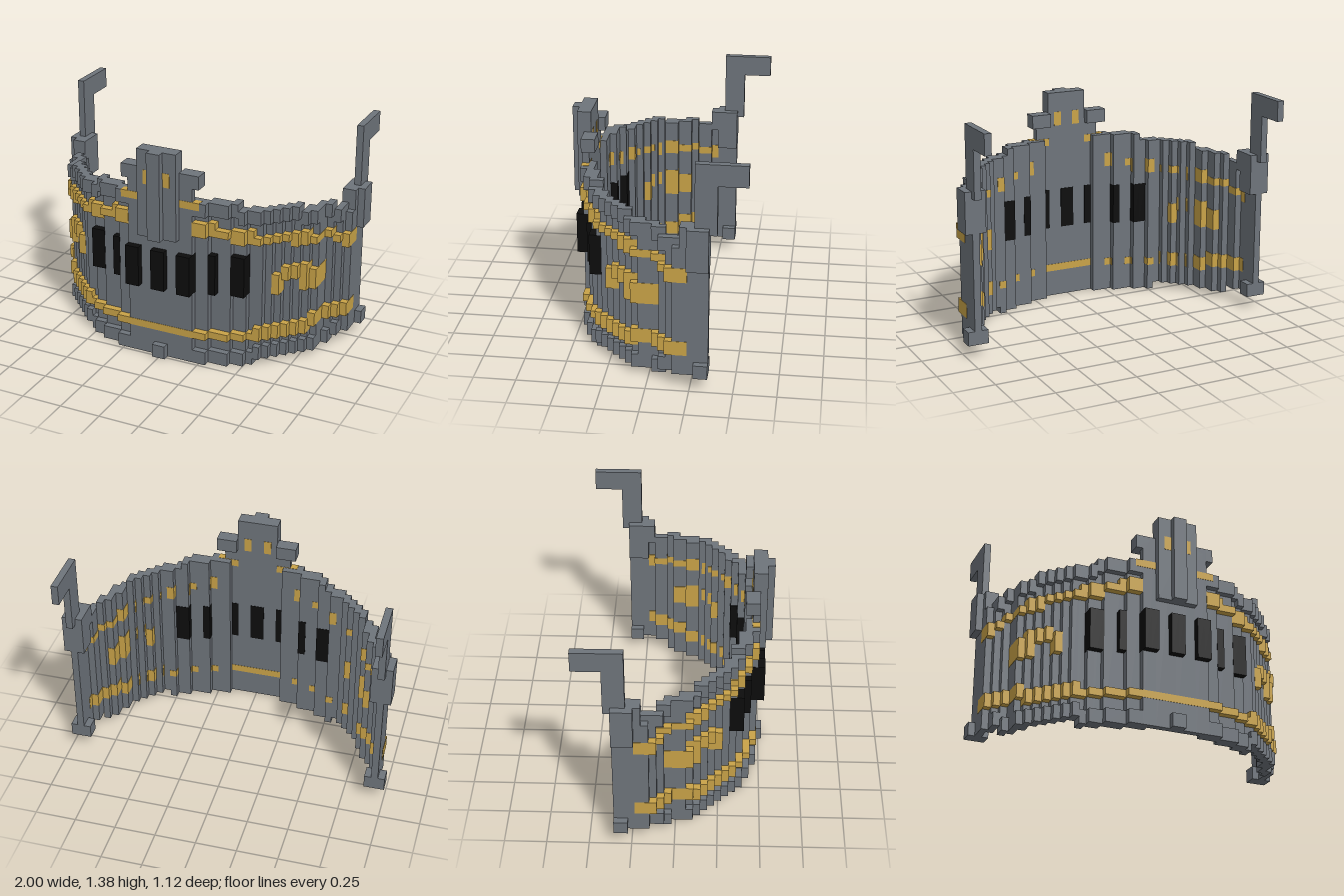
import * as THREE from 'three';

const U = 1 / 24; // one block

export function createModel() {
  const model = new THREE.Group();
  model.name = 'curvedShield';
  const mat = (name, color) => {
    const m = new THREE.MeshStandardMaterial({ color });
    m.name = name;
    return m;
  };
  const steel = mat('steel grey', 0x6e747b);
  const gold = mat('gold', 0xc9a348);
  const black = mat('black', 0x0d0d0d);

  // Box between block coordinates; "grow" keeps inlaid parts clear of the wall
  function box(name, material, x0, x1, y0, y1, z0, z1, grow = 0) {
    const g = new THREE.BoxGeometry(
      (x1 - x0) * U + grow, (y1 - y0) * U + grow, (z1 - z0) * U + grow);
    const m = new THREE.Mesh(g, material);
    m.position.set((x0 + x1) / 2 * U, (y0 + y1) / 2 * U, (z0 + z1) / 2 * U);
    m.name = name;
    model.add(m);
  }
  // Same box on both sides
  function pair(name, material, x0, x1, ...rest) {
    box(name + 'Left', material, x0, x1, ...rest);
    box(name + 'Right', material, -x1, -x0, ...rest);
  }

  // Curved wall: runs of columns [x0, x1, bottom, top, back, front]
  const wall = [
    [0, 3, 0, 32, 10.5, 11.5], [3, 5, 0, 29, 10.5, 11.5],
    [4, 7, 0, 25, 9.5, 10.5], [7, 10, 0, 25, 8.5, 9.5],
    [10, 11, 0, 25, 7.5, 8.5], [11, 12, 0, 24, 7.5, 8.5],
    [12, 13, 0, 24, 6.5, 7.5], [13, 14, 1, 24, 6.5, 7.5],
    [14, 15, 1, 24, 5.5, 6.5], [15, 16, 1, 24, 4.5, 5.5],
    [16, 17, 1, 24, 3.5, 4.5], [17, 18, 1, 24, 2.5, 3.5],
    [18, 19, 1, 23, 0.5, 2.5], [19, 20, 1, 23, -1.5, 1.5],
    [20, 21, 1, 23, -2.5, -1.5], [21, 22, 2, 22, -4.5, -2.5],
    [22, 23, 2, 21, -8.5, -3.5],
  ];
  const column = (i) => wall.find(([a, b]) => i >= a && i < b);
  for (const [x0, x1, y0, y1, z0, z1] of wall) {
    pair('wall', steel, x0, x1, y0, y1, z0, z1);
    // Raised rims along the top and bottom edges
    if (x0 >= 4 && x0 < 22) {
      pair('topRim', steel, Math.max(x0, 5), x1, y1 - 2, y1, z1, z1 + 1);
      pair('bottomRim', steel, Math.max(x0, 5), x1, y0, y0 + 2, z1, z1 + 1);
    }
  }
  box('bottomKey', steel, -1, 1, 0, 2, 11.5, 12.5);

  // Front tower with shoulders, central ridge and gold details
  box('tower', steel, -3, 3, 19, 32, 10.5, 12.5);
  box('towerRidge', steel, -1, 1, 19, 32, 12.5, 13.5);
  pair('shoulder', steel, 3, 6, 27, 29, 9.5, 11.5);
  pair('towerInlay', gold, 1, 2, 27, 29, 10.5, 12.5, 0.004);
  pair('browInlay', gold, 3, 6, 24, 25, 10.5, 11.5, 0.004);

  // Gold inlay following the wall, raised by one block unless flush
  function inlay(name, material, x0, x1, y0, y1, raise = 1) {
    for (let i = x0; i < x1; i++) {
      const c = column(i);
      const back = i < 5 || i % 3 === 0 || i >= 18 || material === black
        ? c[4] : c[4] + 0.5;
      pair(name, material, i, i + 1, y0, y1, back, c[5] + raise, 0.004);
    }
  }
  for (const [x0, x1, y0, y1] of [
    [5, 8, 20, 22], [8, 10, 20, 21], [10, 13, 19, 21], [13, 17, 19, 20],
    [17, 19, 18, 20], [19, 21, 18, 19], [21, 22, 17, 18],
  ]) inlay('upperBand', gold, x0, x1, y0, y1);
  inlay('lowerBand', gold, 0, 5, 4, 5, 0);
  inlay('lowerBand', gold, 5, 13, 4, 5);
  inlay('lowerBand', gold, 13, 19, 4, 6);
  inlay('lowerBand', gold, 19, 22, 5, 7);
  pair('upperBandEnd', gold, 22, 23, 16, 18, -5.5, -2.5, 0.004);
  pair('lowerBandEnd', gold, 22, 23, 5, 7, -5.5, -2.5, 0.004);

  // Gold hook emblem on each side
  inlay('emblemLeg', gold, 15, 16, 11, 14);
  inlay('emblemTop', gold, 16, 18, 13, 15);
  inlay('emblemTop', gold, 18, 19, 11, 15);
  inlay('emblemLeg', gold, 19, 20, 11, 14);

  // Dark window slots
  for (const [x0, x1] of [[0, 1], [3, 5], [7, 8], [10, 12]])
    inlay('window', black, x0, x1, 11, 17);

  // Rear posts with arms reaching back
  pair('postBase', steel, 21, 24, 18, 24, -8.5, -5.5);
  pair('postBaseStep', steel, 21, 23, 21, 24, -5.5, -4.5);
  pair('post', steel, 22, 23, 23, 33, -9.5, -6.5);
  pair('postArm', steel, 22, 23, 30, 33, -13.5, -9.5);
  pair('postFoot', steel, 21, 24, 2, 4, -8.5, -6.5);

  return model;
}
